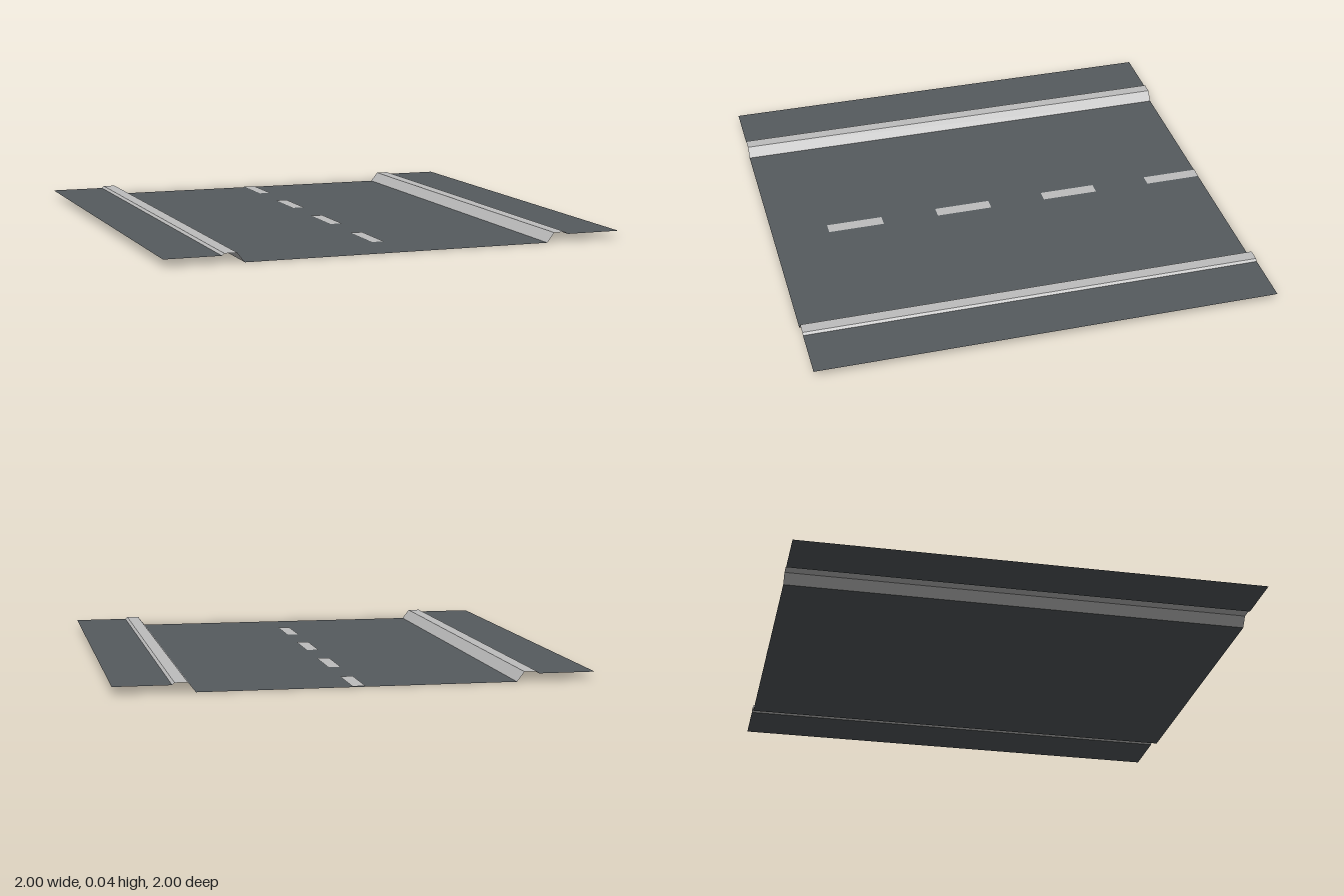
import * as THREE from 'three';

// Open sheet swept along z from a profile of [x, y] points with x increasing
function strip(profile, z0, z1) {
  const pos = [];
  for (let i = 0; i < profile.length - 1; i++) {
    const [ax, ay] = profile[i];
    const [bx, by] = profile[i + 1];
    pos.push(ax, ay, z1, bx, by, z1, bx, by, z0);
    pos.push(ax, ay, z1, bx, by, z0, ax, ay, z0);
  }
  const geo = new THREE.BufferGeometry();
  geo.setAttribute('position', new THREE.Float32BufferAttribute(pos, 3));
  geo.computeVertexNormals();
  return geo;
}

export function createModel() {
  const asphalt = new THREE.MeshStandardMaterial({ color: 0x565b5e, side: THREE.DoubleSide });
  asphalt.name = 'asphalt';
  const paleGrey = new THREE.MeshStandardMaterial({ color: 0xbebebe, side: THREE.DoubleSide });
  paleGrey.name = 'paleGrey';

  const group = new THREE.Group();
  group.name = 'roadSection';
  const add = (name, geo, mat) => {
    const mesh = new THREE.Mesh(geo, mat);
    mesh.name = name;
    group.add(mesh);
  };

  const walkY = 0.032;
  const kerbIn = 0.665;
  const kerbOut = 0.76;

  // Carriageway
  add('roadSurface', strip([[-kerbIn, 0], [kerbIn, 0]], -1, 1), asphalt);

  // Raised pavements and bevelled kerbs on both sides
  const kerb = [[kerbIn, 0], [0.697, 0.041], [0.75, 0.041], [kerbOut, walkY]];
  const walk = [[kerbOut, walkY], [1, walkY]];
  const mirror = (p) => p.map(([x, y]) => [-x, y]).reverse();
  add('leftKerb', strip(kerb, -1, 1), paleGrey);
  add('rightKerb', strip(mirror(kerb), -1, 1), paleGrey);
  add('leftPavement', strip(walk, -1, 1), asphalt);
  add('rightPavement', strip(mirror(walk), -1, 1), asphalt);

  // Dashed centre line
  for (let i = 0; i < 4; i++) {
    const z = -1 + i * 0.5;
    add('centreDash' + (i + 1), strip([[-0.027, 0.003], [0.027, 0.003]], z, z + 0.25), paleGrey);
  }
  return group;
}
